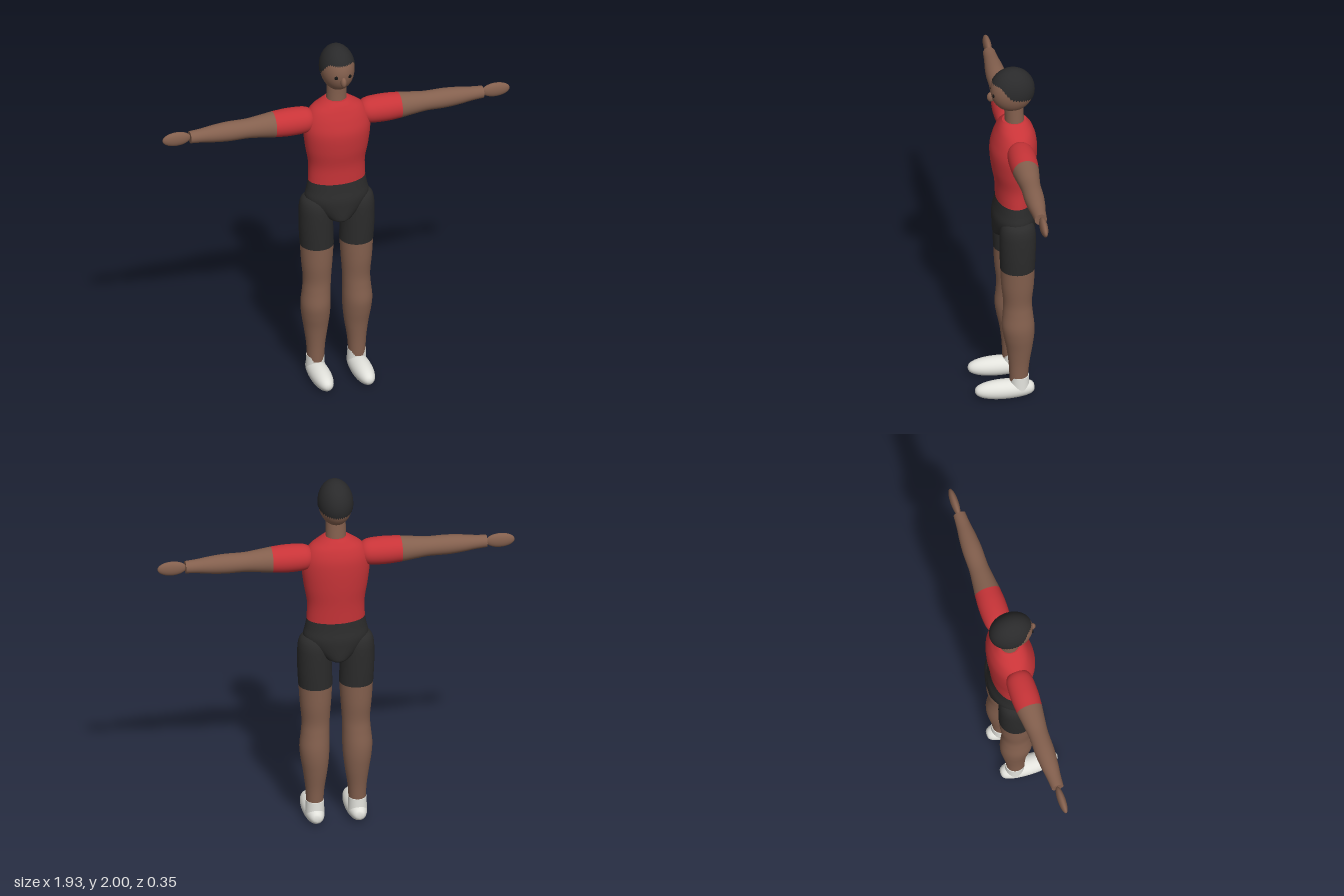
import * as THREE from 'three';

const mat = (name, color, side = THREE.FrontSide) => {
  const m = new THREE.MeshStandardMaterial({ color, side });
  m.name = name;
  return m;
};

// Smooth tube along y through elliptical sections [y, centreX, centreZ, radiusX, radiusZ], capped at both ends.
function loft(sections, sides = 36, steps = 5) {
  const mids = new THREE.CatmullRomCurve3(sections.map(s => new THREE.Vector3(s[1], s[0], s[2])), false, 'catmullrom', 0.5);
  const radii = new THREE.CatmullRomCurve3(sections.map(s => new THREE.Vector3(s[3], 0, s[4])), false, 'catmullrom', 0.5);
  const rows = (sections.length - 1) * steps;
  const pos = [], index = [];
  const ring = t => {
    const c = mids.getPoint(t), r = radii.getPoint(t);
    for (let i = 0; i < sides; i++) {
      const a = i / sides * Math.PI * 2;
      pos.push(c.x + Math.sin(a) * Math.max(r.x, 0), c.y, c.z + Math.cos(a) * Math.max(r.z, 0));
    }
    return c;
  };
  for (let j = 0; j <= rows; j++) ring(j / rows);
  for (let j = 0; j < rows; j++) for (let i = 0; i < sides; i++) {
    const a = j * sides + i, b = j * sides + (i + 1) % sides;
    index.push(a, b, b + sides, a, b + sides, a + sides);
  }
  for (const t of [0, 1]) {
    const start = pos.length / 3, c = ring(t), mid = pos.length / 3;
    pos.push(c.x, c.y, c.z);
    for (let i = 0; i < sides; i++) {
      const a = start + i, b = start + (i + 1) % sides;
      index.push(mid, t ? a : b, t ? b : a);
    }
  }
  const g = new THREE.BufferGeometry();
  g.setAttribute('position', new THREE.Float32BufferAttribute(pos, 3));
  g.setIndex(index);
  g.computeVertexNormals();
  return g;
}

export function createModel() {
  const model = new THREE.Group();
  const skin = mat('skin', 0x84604e);
  const shirt = mat('shirt red', 0xc83438);
  const shorts = mat('shorts black', 0x2b2b2b);
  const hairMat = mat('hair black', 0x2a2a2b, THREE.DoubleSide);
  const white = mat('shoe white', 0xe2e2dc);
  const eyeMat = mat('eye black', 0x141414);

  const add = (parent, name, geo, material, p = [0, 0, 0], s = [1, 1, 1]) => {
    const m = new THREE.Mesh(geo, material);
    m.name = name;
    m.position.set(...p);
    m.scale.set(...s);
    parent.add(m);
    return m;
  };
  const ball = new THREE.SphereGeometry(1, 36, 24);

  // Torso, pelvis and neck
  add(model, 'shirtTorso', loft([
    [1.2, 0, -0.054, 0.157, 0.099], [1.3, 0, -0.055, 0.155, 0.105], [1.4, 0, -0.051, 0.172, 0.119],
    [1.5, 0, -0.05, 0.183, 0.125], [1.57, 0, -0.056, 0.175, 0.116], [1.625, 0, -0.058, 0.146, 0.098],
    [1.66, 0, -0.056, 0.098, 0.08], [1.683, 0, -0.055, 0.06, 0.064]]), shirt);
  add(model, 'shortsPelvis', loft([
    [0.975, 0, -0.053, 0.06, 0.108], [0.99, 0, -0.053, 0.088, 0.116], [1.05, 0, -0.053, 0.15, 0.118],
    [1.1, 0, -0.053, 0.175, 0.117], [1.15, 0, -0.053, 0.166, 0.107], [1.2, 0, -0.054, 0.157, 0.099]]), shorts);
  add(model, 'neck', loft([
    [1.64, 0, -0.058, 0.056, 0.053], [1.72, 0, -0.055, 0.054, 0.051], [1.81, 0, -0.05, 0.053, 0.052]]), skin);

  // Head and face
  const headAt = [0, 1.871, -0.045];
  add(model, 'head', ball, skin, headAt, [0.091, 0.126, 0.117]);
  add(model, 'nose', ball, skin, [0, 1.835, 0.07], [0.016, 0.029, 0.021]);
  for (const s of [1, -1]) add(model, 'eye', ball, eyeMat, [s * 0.037, 1.863, 0.062], [0.011, 0.01, 0.005]);

  // Hair: a shell whose lower edge drops from the forehead to the nape
  const hair = new THREE.SphereGeometry(1, 48, 20);
  const hp = hair.attributes.position, uv = hair.attributes.uv;
  for (let i = 0; i < hp.count; i++) {
    const a = uv.getX(i) * Math.PI * 2, f = Math.cos(a);
    const edge = f > 0 ? -0.17 + 0.59 * THREE.MathUtils.smoothstep(f, 0, 0.75) : -0.17 + 0.23 * f;
    const theta = (1 - uv.getY(i)) * Math.acos(edge);
    hp.setXYZ(i, Math.sin(theta) * Math.sin(a), Math.cos(theta), Math.sin(theta) * f);
    hair.attributes.normal.setXYZ(i, hp.getX(i), hp.getY(i), hp.getZ(i));
  }
  add(model, 'hair', hair, hairMat, headAt, [0.0945, 0.129, 0.121]);

  // Shoe: a boxier ellipsoid with a flat sole
  const shoe = ball.clone();
  const sp = shoe.attributes.position;
  for (let i = 0; i < sp.count; i++) {
    const z = sp.getZ(i), k = Math.pow(Math.max(1 - z * z, 0.0001), z < 0 ? -0.2 : -0.1);
    sp.setXYZ(i, sp.getX(i) * k * 0.056, Math.max(sp.getY(i) * k * 0.054, -0.045), z * 0.16);
  }
  shoe.computeVertexNormals();

  const armCircle = (x, r) => [x, 0, 0, r, r];
  for (const s of [1, -1]) {
    const side = s > 0 ? 'left' : 'right';

    // Arm, built upright and swung out sideways
    const arm = new THREE.Group();
    arm.name = side + 'Arm';
    arm.position.set(0, 1.57, -0.06);
    arm.rotation.z = -s * Math.PI / 2;
    model.add(arm);
    add(arm, 'sleeve', loft([
      armCircle(0.125, 0.03), armCircle(0.138, 0.052), armCircle(0.165, 0.068), armCircle(0.21, 0.074),
      armCircle(0.28, 0.075), armCircle(0.35, 0.07)]), shirt);
    add(arm, 'bareArm', loft([
      armCircle(0.35, 0.07), armCircle(0.43, 0.06), armCircle(0.5, 0.053), armCircle(0.6, 0.053),
      armCircle(0.68, 0.047), armCircle(0.75, 0.038), armCircle(0.815, 0.033)]), skin);
    add(arm, 'hand', ball, skin, [0, 0.888, -0.003], [0.04, 0.078, 0.021]);

    // Leg
    const leg = new THREE.Group();
    leg.name = side + 'Leg';
    model.add(leg);
    const mirror = rows => rows.map(r => [r[0], r[1] * s, r[2], r[3], r[4]]);
    add(leg, 'shortsLeg', loft(mirror([
      [0.81, 0.11, -0.055, 0.091, 0.093], [0.9, 0.114, -0.055, 0.092, 0.096], [0.99, 0.116, -0.055, 0.091, 0.097],
      [1.05, 0.116, -0.055, 0.088, 0.094], [1.09, 0.116, -0.055, 0.075, 0.08], [1.12, 0.116, -0.055, 0.04, 0.05]])), shorts);
    add(leg, 'bareLeg', loft(mirror([
      [0.1, 0.115, -0.06, 0.045, 0.048], [0.2, 0.114, -0.062, 0.051, 0.055], [0.3, 0.113, -0.064, 0.065, 0.069],
      [0.38, 0.115, -0.061, 0.076, 0.082], [0.45, 0.116, -0.057, 0.08, 0.087], [0.53, 0.112, -0.056, 0.076, 0.08],
      [0.6, 0.109, -0.055, 0.075, 0.077], [0.7, 0.11, -0.055, 0.083, 0.087], [0.81, 0.11, -0.055, 0.09, 0.092]])), skin);
    add(leg, 'sock', loft(mirror([
      [0.05, 0.115, -0.065, 0.051, 0.053], [0.127, 0.115, -0.064, 0.049, 0.051]])), white);
    add(leg, 'shoe', shoe, white, [s * 0.115, 0.045, 0.015]);
  }
  return model;
}
